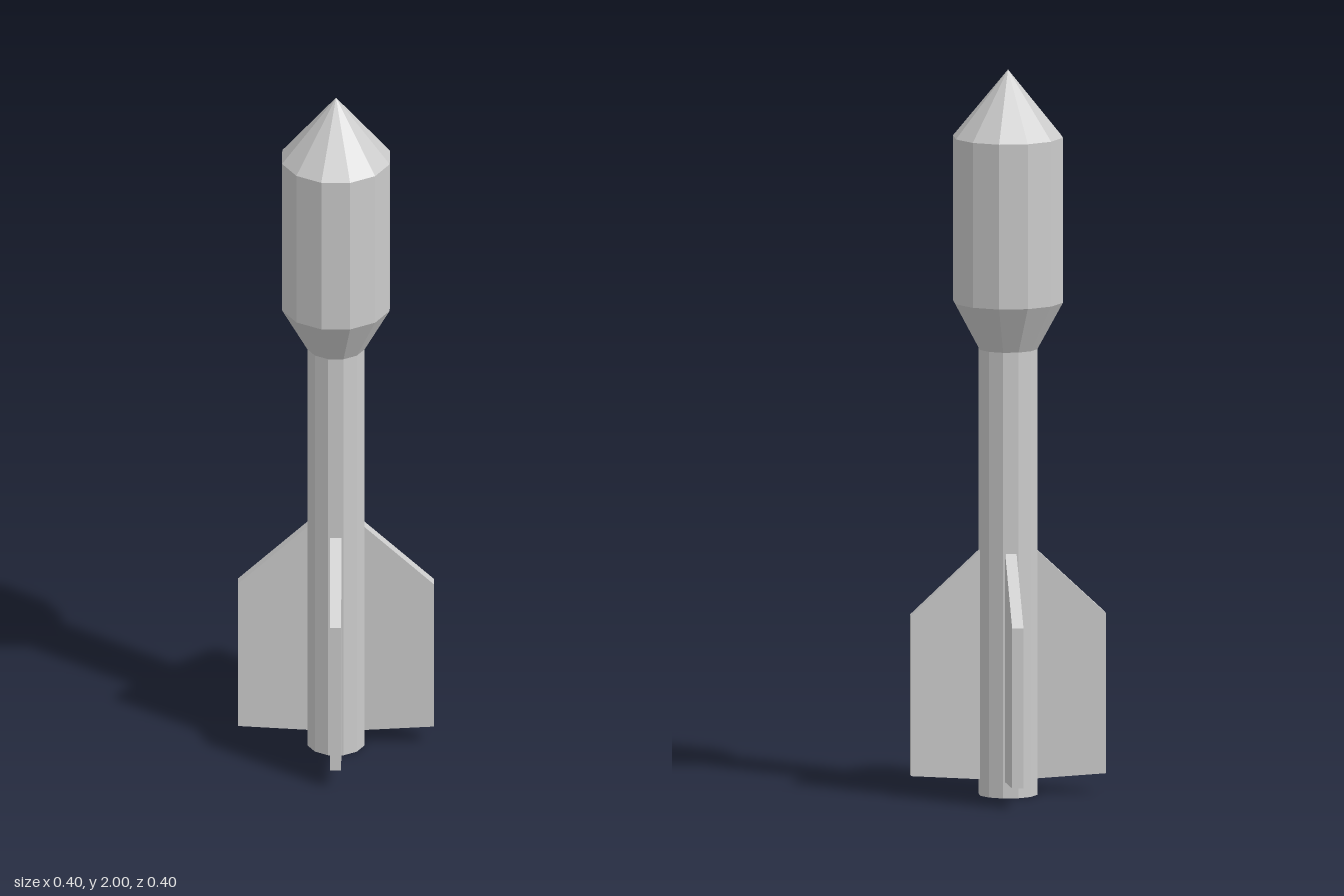
import * as THREE from 'three';

const SIDES = 12;
const material = new THREE.MeshStandardMaterial({ color: 0xcccccc, flatShading: true });

// Faceted solid of revolution; the profile runs from bottom to top
function turned(name, profile) {
  const points = profile.map(([r, y]) => new THREE.Vector2(r, y));
  const mesh = new THREE.Mesh(new THREE.LatheGeometry(points, SIDES), material);
  mesh.name = name;
  return mesh;
}

export function createModel() {
  const model = new THREE.Group();
  model.name = 'rocket';

  // Slim motor tube with a round exhaust bore in its base
  model.add(turned('motorTube', [
    [0, 0.15], [0.042, 0.15], [0.042, 0], [0.081, 0], [0.081, 1.23],
  ]));

  // Wide head: flared collar, straight casing and pointed nose
  model.add(turned('warhead', [
    [0.081, 1.23], [0.152, 1.36], [0.152, 1.815], [0, 2],
  ]));

  // Four swept fins set on the diagonals
  const thickness = 0.031;
  const outline = new THREE.Shape([
    [0.065, 0.044], [0.267, 0.056], [0.267, 0.498], [0.077, 0.676], [0.065, 0.676],
  ].map(([x, y]) => new THREE.Vector2(x, y)));
  const finGeometry = new THREE.ExtrudeGeometry(outline, { depth: thickness, bevelEnabled: false });
  finGeometry.translate(0, 0, -thickness / 2);

  const fins = new THREE.Group();
  fins.name = 'fins';
  for (let i = 0; i < 4; i++) {
    const fin = new THREE.Mesh(finGeometry, material);
    fin.name = `fin${i + 1}`;
    fin.rotation.y = Math.PI / 4 + (i * Math.PI) / 2;
    fins.add(fin);
  }
  model.add(fins);

  return model;
}
